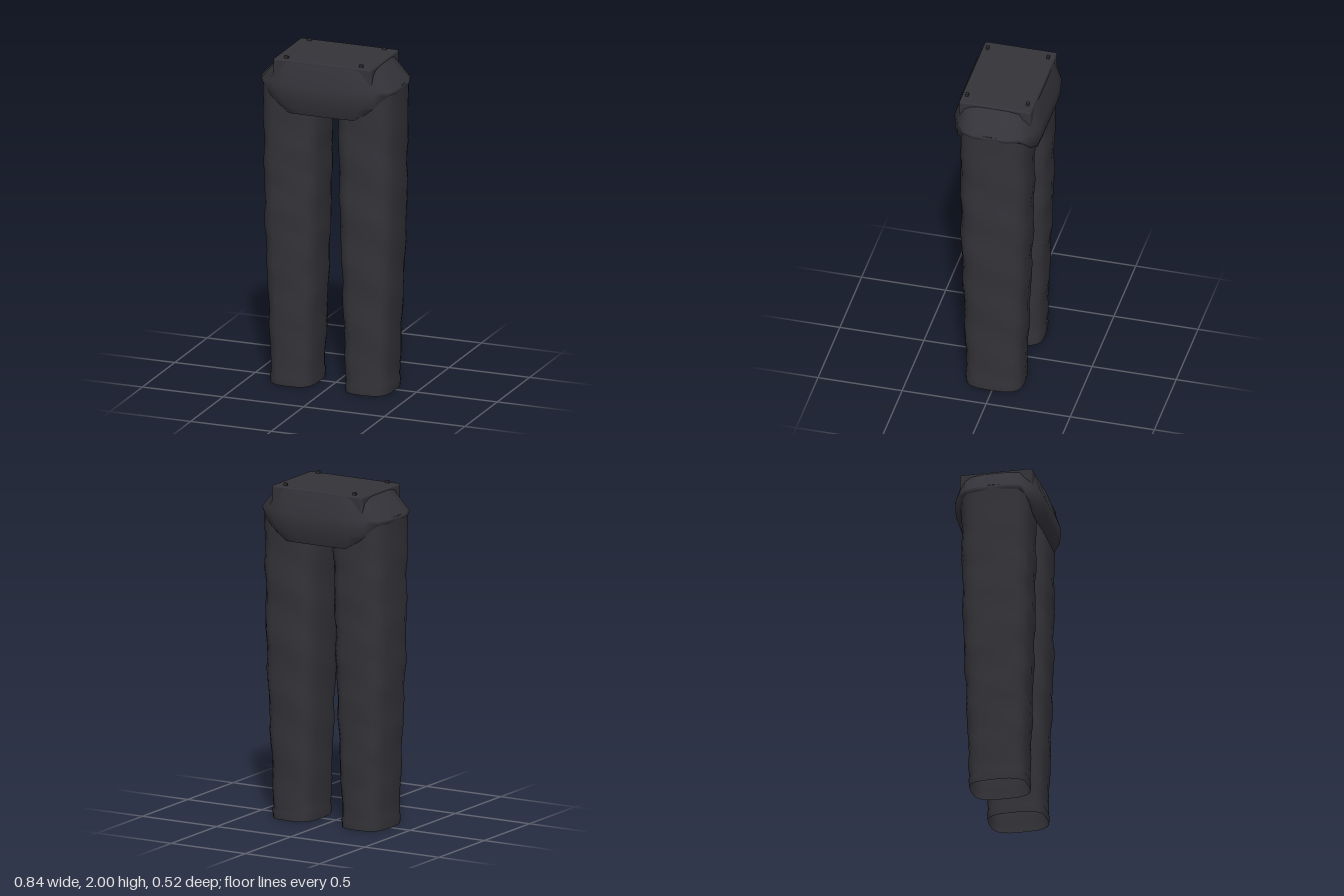
import * as THREE from 'three';
import { RoundedBoxGeometry } from 'three/addons/geometries/RoundedBoxGeometry.js';

// Skin closed rings of [x, y, z] points, listed from bottom to top
function loft(rings) {
  const n = rings[0].length, index = [];
  for (let i = 0; i < rings.length - 1; i++) {
    for (let j = 0; j < n; j++) {
      const a = i * n + j, b = i * n + (j + 1) % n;
      index.push(a, b, a + n, b, b + n, a + n);
    }
  }
  const geo = new THREE.BufferGeometry();
  geo.setAttribute('position', new THREE.Float32BufferAttribute(rings.flat(2), 3));
  geo.setIndex(index);
  geo.computeVertexNormals();
  return geo;
}

// Leg heights: y, inner x, outer x, back z, front z
const LEG = [
  [0.00, 0.095, 0.370, -0.165, 0.178],
  [0.05, 0.093, 0.373, -0.168, 0.181],
  [0.06, 0.097, 0.368, -0.163, 0.176],
  [0.30, 0.088, 0.375, -0.172, 0.183],
  [0.60, 0.077, 0.388, -0.182, 0.190],
  [1.00, 0.064, 0.404, -0.197, 0.202],
  [1.40, 0.056, 0.409, -0.203, 0.205],
  [1.70, 0.050, 0.412, -0.208, 0.210],
  [1.85, 0.050, 0.416, -0.208, 0.210],
];

// Rounded, slightly wrinkled cross-section of a leg at one height
function legRing(y, side) {
  let k = 0;
  while (k < LEG.length - 2 && LEG[k + 1][0] < y) k++;
  const t = (y - LEG[k][0]) / (LEG[k + 1][0] - LEG[k][0]);
  const [x0, x1, z0, z1] = [1, 2, 3, 4].map(c => THREE.MathUtils.lerp(LEG[k][c], LEG[k + 1][c], t));
  const ring = [], sides = 20, pow = 0.62;
  const fade = y < 0.07 || y > 1.7 ? 0 : 1;
  for (let j = 0; j < sides; j++) {
    const a = (j / sides) * Math.PI * 2;
    const s = Math.sin(a), c = Math.cos(a);
    const w = 1 + fade * (0.018 * Math.sin(y * 19 + a * 2) + 0.012 * Math.sin(y * 31 - a * 3));
    const x = (x0 + x1) / 2 + (x1 - x0) / 2 * w * Math.sign(s) * Math.abs(s) ** pow;
    const z = (z0 + z1) / 2 + (z1 - z0) / 2 * w * Math.sign(c) * Math.abs(c) ** pow;
    ring.push([x * side, y, z]);
  }
  return side > 0 ? ring : ring.reverse();
}

// Hip band, a quarter from front centre to side:
// top x, z; widest x, z; lower y; hem x, y, z
const HIP = [
  [0.000, 0.222, 0.000, 0.260, 1.75, 0.00, 1.67, 0.230],
  [0.140, 0.219, 0.140, 0.260, 1.75, 0.12, 1.67, 0.230],
  [0.230, 0.212, 0.240, 0.256, 1.75, 0.20, 1.67, 0.226],
  [0.275, 0.185, 0.325, 0.218, 1.76, 0.30, 1.73, 0.200],
  [0.295, 0.140, 0.393, 0.170, 1.82, 0.36, 1.79, 0.150],
  [0.302, 0.080, 0.418, 0.100, 1.82, 0.39, 1.79, 0.090],
  [0.302, 0.000, 0.418, 0.000, 1.82, 0.39, 1.79, 0.000],
];

function hipRing(pick) {
  const q = HIP.map(pick);
  const right = q.concat(q.slice(0, -1).reverse().map(([x, y, z]) => [x, y, -z]));
  const left = right.slice(1, -1).reverse().map(([x, y, z]) => [-x, y, z]);
  return right.concat(left);
}

export function createModel() {
  const cloth = new THREE.MeshStandardMaterial({ color: 0x333339, side: THREE.DoubleSide });
  cloth.name = 'charcoal cloth';
  const model = new THREE.Group();
  model.name = 'trousers';
  const add = (name, geo, x = 0, y = 0, z = 0) => {
    const mesh = new THREE.Mesh(geo, cloth);
    mesh.name = name;
    mesh.position.set(x, y, z);
    model.add(mesh);
  };

  // Open-ended legs with a narrow hem
  const heights = [0, 0.05, 0.06];
  for (let i = 1; i <= 24; i++) heights.push(0.06 + i * 1.79 / 24);
  add('leftLeg', loft(heights.map(y => legRing(y, 1))));
  add('rightLeg', loft(heights.map(y => legRing(y, -1))));

  // Open hip band hanging around the leg tops
  add('hipBand', loft([
    hipRing(p => [p[5], p[6], p[7]]),
    hipRing(p => [p[2] * 0.985, p[4], p[3] * 0.985]),
    hipRing(p => [p[2], 1.845, p[3]]),
    hipRing(p => [p[0], 1.975, p[1]]),
  ]));

  // Waist block
  add('waistBlock', new RoundedBoxGeometry(0.61, 0.165, 0.43, 2, 0.012), 0, 1.9025, 0);

  // Four small pegs on the waist
  for (const x of [-0.235, 0.23]) {
    for (const z of [-0.178, 0.182]) {
      add('waistPeg', new RoundedBoxGeometry(0.026, 0.03, 0.017, 2, 0.004), x, 1.985, z);
    }
  }
  return model;
}
